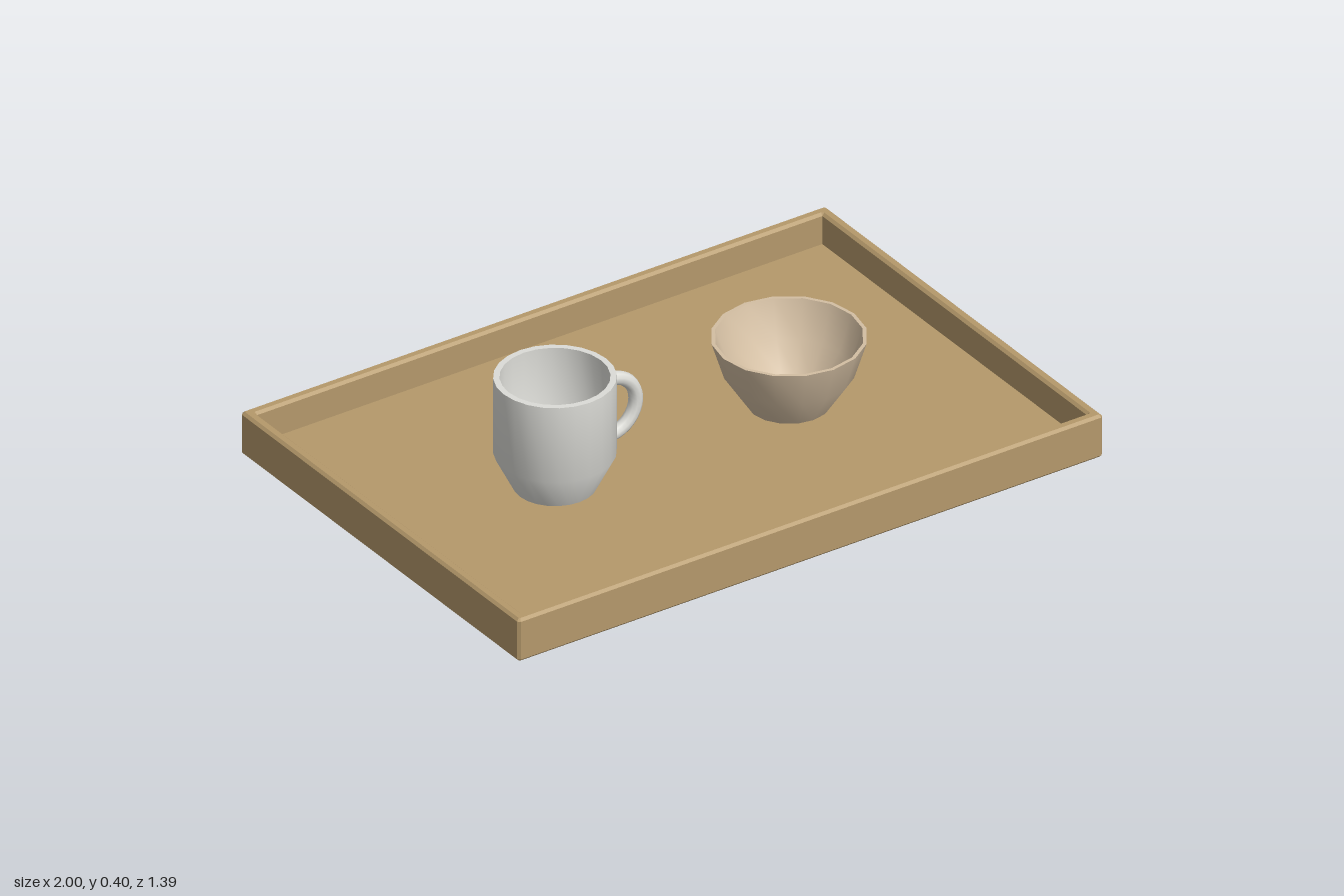
import * as THREE from 'three';
import { toCreasedNormals } from 'three/addons/utils/BufferGeometryUtils.js';

const wood = new THREE.MeshStandardMaterial({ name: 'wood', color: 0xb5996b });
const porcelain = new THREE.MeshStandardMaterial({ name: 'porcelain', color: 0xdcdcd7 });
const clay = new THREE.MeshStandardMaterial({ name: 'clay', color: 0xd3bea2 });

const HALF_X = 1, HALF_Z = 0.695, HEIGHT = 0.14, WALL = 0.034, BEVEL = 0.008, FLOOR = 0.04;

function addMesh(parent, name, geometry, material) {
  const mesh = new THREE.Mesh(geometry, material);
  mesh.name = name;
  parent.add(mesh);
  return mesh;
}

// Rectangle outline with small cut corners
function outline(path, w, d, c) {
  const corners = [[w - c, -d], [w, c - d], [w, d - c], [w - c, d], [c - w, d], [-w, d - c], [-w, c - d], [c - w, -d]];
  path.setFromPoints(corners.map(([x, y]) => new THREE.Vector2(x, y)));
  path.closePath();
  return path;
}

// Turned vessel with crisp rim and smooth sides
function turned(points, sides) {
  const profile = points.map(([r, y]) => new THREE.Vector2(r, y));
  return toCreasedNormals(new THREE.LatheGeometry(profile, sides), 0.8);
}

function createTray() {
  const tray = new THREE.Group();
  tray.name = 'tray';

  // Bevelled rim running all the way round
  const frame = outline(new THREE.Shape(), HALF_X, HALF_Z, BEVEL);
  frame.holes.push(outline(new THREE.Path(), HALF_X - WALL, HALF_Z - WALL, 0.001));
  const rim = new THREE.ExtrudeGeometry(frame, {
    depth: HEIGHT - 2 * BEVEL, bevelEnabled: true, bevelSegments: 1,
    bevelSize: BEVEL, bevelThickness: BEVEL, bevelOffset: -BEVEL,
  });
  rim.rotateX(-Math.PI / 2).translate(0, BEVEL, 0);
  addMesh(tray, 'trayRim', rim, wood);

  // Floor panel let into the rim
  const inset = 2 * (WALL - BEVEL);
  const panel = new THREE.BoxGeometry(2 * HALF_X - inset, FLOOR, 2 * HALF_Z - inset);
  addMesh(tray, 'trayFloor', panel, wood).position.y = FLOOR / 2;
  return tray;
}

function createMug() {
  const mug = new THREE.Group();
  mug.name = 'mug';
  mug.position.set(-0.4, 0, 0);

  // Straight body on a tapered foot
  addMesh(mug, 'mugBody', turned([
    [0, FLOOR], [0.12, FLOOR], [0.175, 0.15], [0.175, 0.395],
    [0.157, 0.395], [0.157, 0.16], [0.11, 0.065], [0, 0.06],
  ], 24), porcelain);

  // Half-ring handle, with its ends sunk into the wall
  const handle = new THREE.TorusGeometry(0.092, 0.021, 10, 18, Math.PI * 1.08);
  handle.rotateZ(-Math.PI * 0.54);
  addMesh(mug, 'mugHandle', handle, porcelain).position.set(0.184, 0.232, 0);
  return mug;
}

function createBowl() {
  const bowl = new THREE.Group();
  bowl.name = 'bowl';
  bowl.position.set(0.4, 0, 0);
  // Flared bowl with a thin lip
  addMesh(bowl, 'bowlBody', turned([
    [0, FLOOR - 0.002], [0.12, FLOOR - 0.002], [0.187, 0.14], [0.223, 0.256],
    [0.212, 0.256], [0.172, 0.145], [0.11, 0.065], [0, 0.06],
  ], 16), clay);
  return bowl;
}

export function createModel() {
  const model = new THREE.Group();
  model.name = 'servingTray';
  model.add(createTray(), createMug(), createBowl());
  return model;
}
